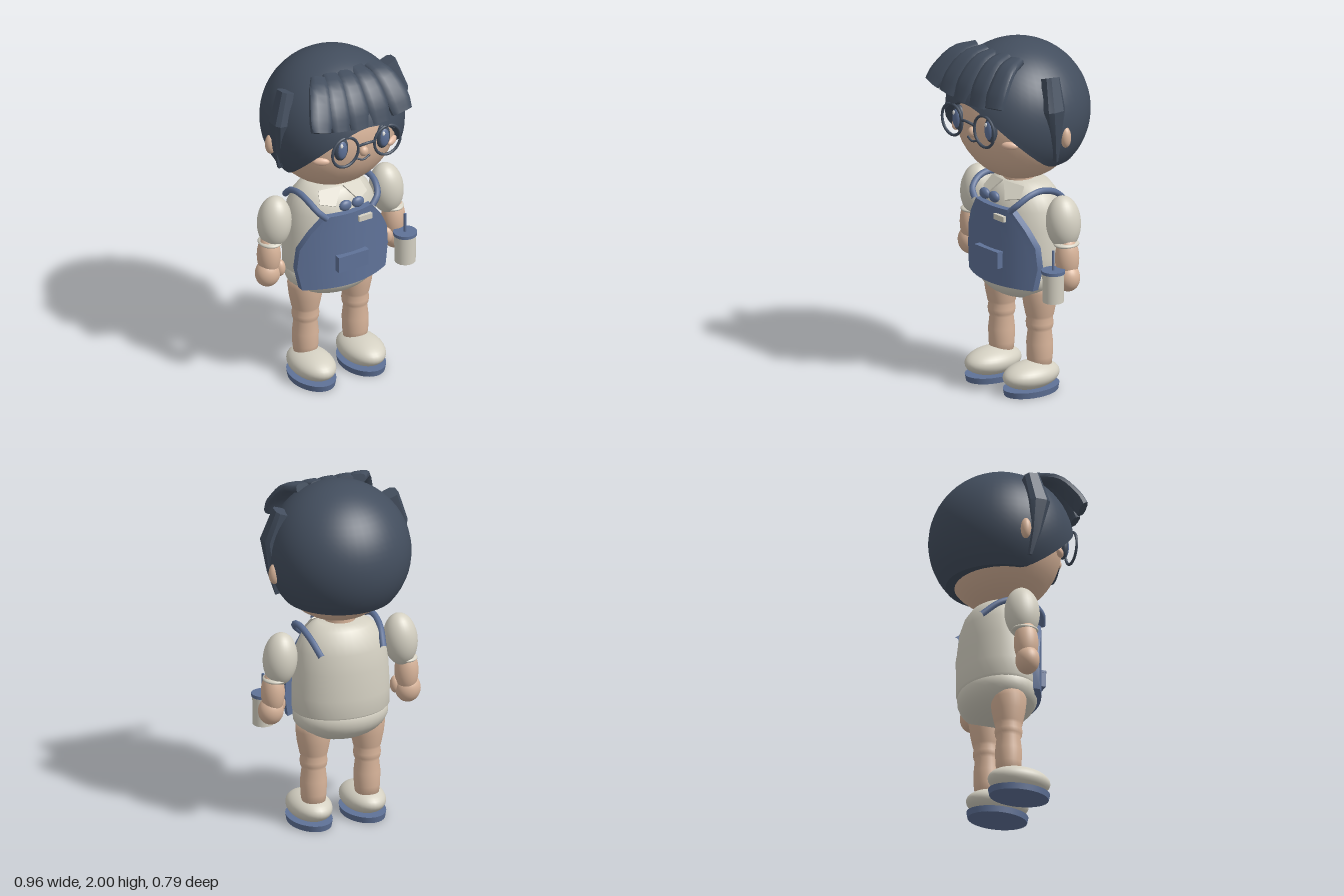
import * as THREE from 'three';
import { toCreasedNormals } from 'three/addons/utils/BufferGeometryUtils.js';

const V = (x, y, z) => new THREE.Vector3(x, y, z);

export function createModel() {
  const root = new THREE.Group();
  const paint = (name, color, extra = {}) => {
    const m = new THREE.MeshStandardMaterial({ color, ...extra });
    m.name = name;
    return m;
  };
  const hair = paint('slate hair', 0x434e5e);
  const blue = paint('apron blue', 0x5f7298);
  const cream = paint('cream cloth', 0xd5d1c3);
  const creamSheet = paint('cream collar', 0xd5d1c3, { side: THREE.DoubleSide });
  const skin = paint('skin', 0xd9b59b);
  const blush = paint('cheek', 0xe3bba2);
  const white = paint('eye highlight', 0xe8e8e6);

  const add = (name, geo, mat, x = 0, y = 0, z = 0) => {
    const mesh = new THREE.Mesh(geo, mat);
    mesh.name = name;
    mesh.position.set(x, y, z);
    root.add(mesh);
    return mesh;
  };
  const ball = (name, mat, x, y, z, rx, ry, rz) =>
    add(name, new THREE.SphereGeometry(1, 32, 20).scale(rx, ry, rz), mat, x, y, z);
  const tube = (name, mat, points, r, n = 20) =>
    add(name, new THREE.TubeGeometry(new THREE.CatmullRomCurve3(points), n, r, 8), mat);
  const lathe = (pts, depth = 1) =>
    new THREE.LatheGeometry(pts.map(p => new THREE.Vector2(...p)), 32).scale(1, 1, depth);

  // Surface of rows, each a closed loop of columns
  const loops = (rows, cols, at, crease = 0.8) => {
    const pos = [], idx = [];
    for (let i = 0; i < rows; i++) for (let j = 0; j < cols; j++) {
      pos.push(...at(i, j).toArray());
      if (i === rows - 1) continue;
      const k = (j + 1) % cols, a = i * cols, b = a + cols;
      idx.push(a + j, b + j, b + k, a + j, b + k, a + k);
    }
    const g = new THREE.BufferGeometry();
    g.setAttribute('position', new THREE.Float32BufferAttribute(pos, 3));
    g.setIndex(idx);
    return toCreasedNormals(g, crease);
  };

  // Lock of hair: rounded flat section swept along a path, closed at both ends
  const lock = (name, path, widths, thick, side, sides = 12, steps = 10, crease = 0.8) => {
    const curve = new THREE.CatmullRomCurve3(path);
    const geo = loops(steps + 3, sides, (i, j) => {
      const t = Math.min(Math.max((i - 1) / steps, 0), 1);
      const f = t * (widths.length - 1), k = Math.min(Math.floor(f), widths.length - 2);
      const w = (i === 0 || i === steps + 2) ? 0 : THREE.MathUtils.lerp(widths[k], widths[k + 1], f - k);
      const p = curve.getPoint(t), tan = curve.getTangent(t);
      const s = side.clone().addScaledVector(tan, -side.dot(tan)).normalize();
      const n = tan.clone().cross(s);
      const a = -(j + 0.5) / sides * Math.PI * 2, c = Math.cos(a), d = Math.sin(a);
      const box = q => Math.sign(q) * Math.pow(Math.abs(q), 0.65);
      return p.addScaledVector(s, box(c) * w).addScaledVector(n, w ? box(d) * thick : 0);
    }, crease);
    return add(name, geo, hair);
  };

  // Head
  ball('head', skin, 0, 1.575, 0, 0.37, 0.367, 0.33);
  add('neck', new THREE.CylinderGeometry(0.09, 0.09, 0.12, 24), skin, 0, 1.2, -0.01);
  ball('nose', skin, 0, 1.535, 0.33, 0.027, 0.03, 0.025);
  tube('mouth', hair, [V(-0.043, 1.497, 0.325), V(0, 1.482, 0.33), V(0.043, 1.497, 0.325)], 0.006);

  // Hair cap with a hem that rises over the face
  const R = 0.4, rows = 22;
  add('hairCap', loops(rows + 1, 48, (i, j) => {
    const phi = j / 48 * Math.PI * 2;
    const hem = -0.26 + 0.37 * Math.pow(Math.max(0, Math.cos(phi)), 1.8);
    const th = Math.acos(hem / R) * Math.min(i / (rows - 1), 1);
    const p = V(Math.sin(th) * Math.sin(phi), Math.cos(th), Math.sin(th) * Math.cos(phi)).multiplyScalar(R);
    return i === rows ? p.multiply(V(0.84, 1, 0.78)) : p;
  }), hair, 0, 1.6, 0);

  // Fringe: back x, tip x, tip y and half-width at the tip
  [[-0.175, -0.295, 1.75, 0.068], [-0.1, -0.172, 1.725, 0.064], [-0.02, -0.048, 1.71, 0.068],
    [0.065, 0.085, 1.71, 0.068], [0.155, 0.225, 1.735, 0.074]].forEach(([bx, tx, ty, w]) => {
    const x = t => bx + (tx - bx) * t;
    lock('fringeLock', [V(x(0), 1.945, 0.14), V(x(0.4), 1.92, 0.235), V(x(0.8), 1.82, 0.325), V(x(1), ty, 0.365)],
      [0.045, 0.058, 0.066, w, w * 0.85], 0.026, V(1, 0, 0));
  });

  for (const s of [-1, 1]) {
    // Side tufts, ears and face details
    lock('sideTuft', [V(s * 0.325, 1.87, 0.045), V(s * 0.385, 1.7, 0.068), V(s * 0.36, 1.53, 0.05), V(s * 0.325, 1.4, 0.03)],
      [0.048, 0.062, 0.035, 0.012], 0.045, V(0, 0, 1), 8, 3, 0.4);
    ball('ear', skin, s * 0.39, 1.53, -0.01, 0.032, 0.06, 0.03);
    ball('eye', hair, s * 0.135, 1.58, 0.31, 0.045, 0.074, 0.028);
    ball('iris', blue, s * 0.135, 1.578, 0.327, 0.03, 0.055, 0.016);
    ball('eyeHighlight', white, s * 0.135 - 0.01, 1.61, 0.338, 0.009, 0.014, 0.006);
    ball('cheek', blush, s * 0.228, 1.497, 0.255, 0.047, 0.023, 0.02).rotation.y = s * 0.6;
    add('glassesRim', new THREE.TorusGeometry(0.083, 0.008, 8, 40).scale(1, 1.08, 1), hair, s * 0.135, 1.58, 0.36);
  }
  tube('glassesBridge', hair, [V(-0.055, 1.595, 0.36), V(0, 1.61, 0.378), V(0.055, 1.595, 0.36)], 0.008);

  // Body and shorts
  add('shirt', lathe([[0.255, 0.68], [0.278, 0.7], [0.28, 0.8], [0.272, 0.95], [0.255, 1.06],
    [0.225, 1.13], [0.18, 1.18], [0.13, 1.205], [0, 1.21]], 0.77), cream, 0, 0, -0.025);
  ball('shorts', cream, 0, 0.66, -0.02, 0.272, 0.147, 0.214);

  // Collar flaps
  for (const s of [-1, 1]) {
    const flap = new THREE.Shape([[0, 0], [0.13, 0.015], [0.15, -0.06], [0.07, -0.1]].map(p => new THREE.Vector2(s * p[0], p[1])));
    const m = add('collar', new THREE.ExtrudeGeometry(flap, { depth: 0.008, bevelEnabled: false }), creamSheet, s * 0.005, 1.2, 0.1);
    m.rotation.set(-0.75, s * 0.25, 0);
    ball('bow', blue, s * 0.04, 1.14, 0.205, 0.038, 0.032, 0.022);
  }

  // Apron wrapped around the front of the body
  const rim = [[1.08, 0.145], [1.08, 0.145], [0.98, 0.225], [0.88, 0.28], [0.76, 0.292], [0.63, 0.268], [0.63, 0.268]];
  const N = 12;
  add('apron', loops(rim.length, 2 * N + 2, (i, j) => {
    const [y, w] = rim[i], front = j <= N;
    const x = w * (front ? -1 + 2 * j / N : 1 - 2 * (j - N - 1) / N);
    const inset = (i === 0 || i === rim.length - 1) ? 0.02 : front ? 0 : 0.04;
    return V(x, y, 0.202 - 1.1 * x * x - inset);
  }, 0.5), blue);
  add('pocket', new THREE.BoxGeometry(0.19, 0.095, 0.035), blue, 0, 0.785, 0.21);
  add('pocketFlap', new THREE.BoxGeometry(0.194, 0.012, 0.042), blue, 0, 0.828, 0.21);
  add('nameTag', new THREE.BoxGeometry(0.085, 0.032, 0.02), cream, 0.086, 1.03, 0.205);

  for (const s of [-1, 1]) {
    // Shoulder straps
    tube('strap', blue, [V(s * 0.145, 1.075, 0.185), V(s * 0.19, 1.12, 0.165), V(s * 0.215, 1.165, 0.1), V(s * 0.22, 1.178, 0.02),
      V(s * 0.21, 1.145, -0.09), V(s * 0.185, 1.065, -0.19)], 0.018, 32);

    // Arms
    ball('sleeve', cream, s * 0.36, 1.025, -0.02, 0.095, 0.152, 0.098).rotation.z = s * 0.08;
    ball('cuff', cream, s * 0.392, 0.91, -0.015, 0.065, 0.02, 0.075);
    ball('forearm', skin, s * 0.4, 0.83, -0.012, 0.066, 0.13, 0.068);
    ball('hand', skin, s * 0.41, 0.722, -0.008, 0.072, 0.08, 0.066);
    ball('thumb', skin, s * 0.345, 0.745, 0.015, 0.03, 0.05, 0.032);

    // Legs and shoes
    add('leg', lathe([[0, 0.1], [0.062, 0.12], [0.072, 0.2], [0.074, 0.28], [0.066, 0.352], [0.074, 0.37], [0.077, 0.395],
      [0.072, 0.425], [0.078, 0.44], [0.092, 0.51], [0.1, 0.58], [0.095, 0.65], [0, 0.67]]), skin, s * 0.16, 0, -0.02);
    ball('shoe', cream, s * 0.16, 0.103, 0.042, 0.118, 0.077, 0.18);
    add('sole', new THREE.CylinderGeometry(0.12, 0.115, 0.035, 32).scale(1, 1, 1.48), blue, s * 0.16, 0.0225, 0.042);
  }

  // Bottle in the left hand
  add('bottle', new THREE.CylinderGeometry(0.061, 0.058, 0.17, 24), cream, 0.41, 0.69, 0.097);
  add('bottleLid', new THREE.CylinderGeometry(0.066, 0.066, 0.018, 24), blue, 0.41, 0.779, 0.097);
  add('straw', new THREE.CylinderGeometry(0.008, 0.008, 0.12, 10), blue, 0.41, 0.84, 0.097);

  return root;
}
